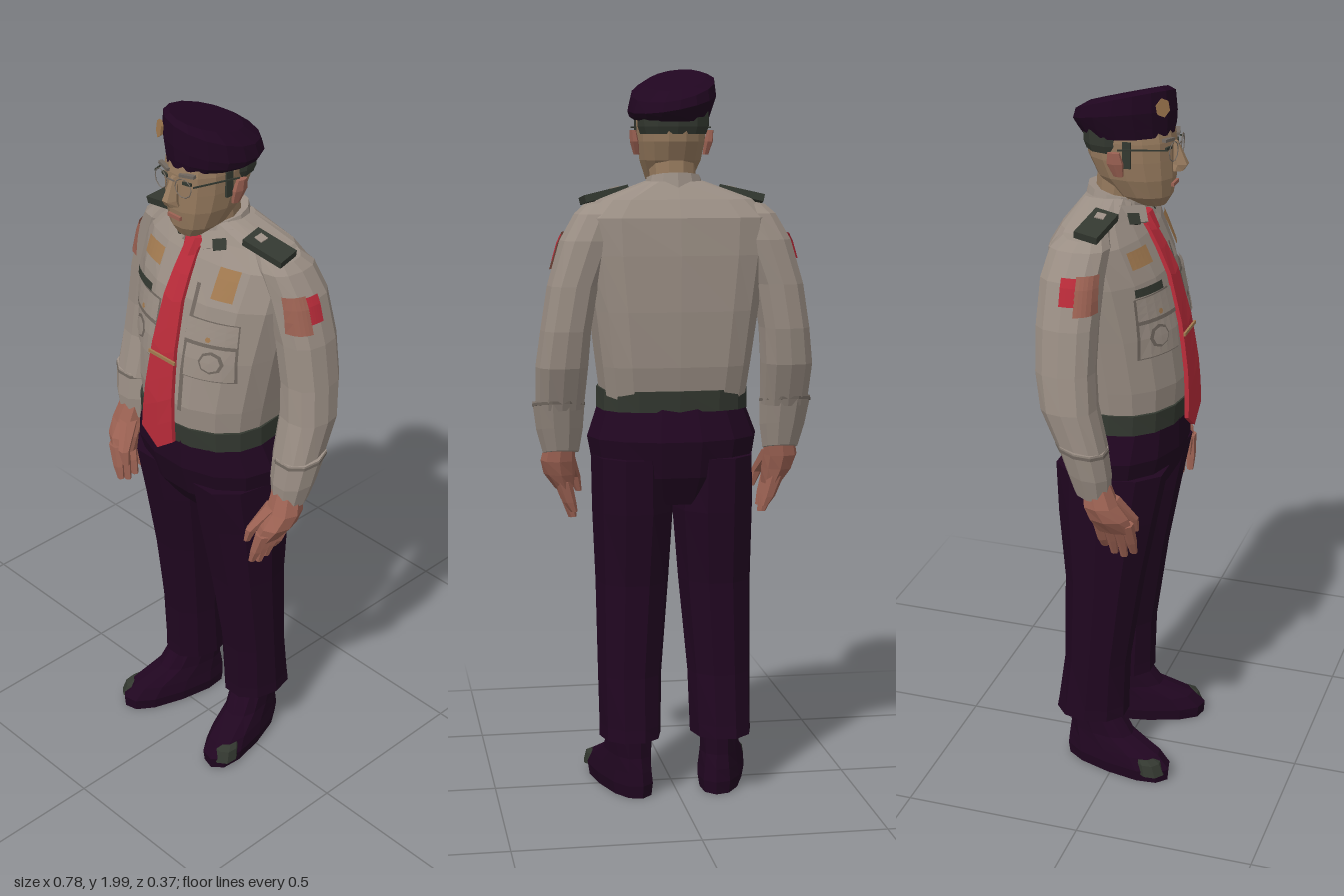
import * as THREE from 'three';

const mat = (name, color) => {
  const m = new THREE.MeshStandardMaterial({ color, flatShading: true, side: THREE.DoubleSide });
  m.name = name;
  return m;
};

// Closed low-poly body from horizontal rings, bottom to top: [x, y, z, rx, rz, tiltX, tiltZ]
// p squares off the outline, pBack does so for the back half only
function loft(rings, n = 12, p = 2, s = 1, pBack = p) {
  const pos = [], idx = [];
  const bend = (v, q) => Math.sign(v) * Math.abs(v) ** (2 / q);
  for (const [x, y, z, rx, rz, tx = 0, tz = 0] of rings) {
    for (let i = 0; i < n; i++) {
      const a = (i / n) * Math.PI * 2, q = i * 2 > n ? pBack : p;
      const dx = rx * bend(Math.cos(a), q), dz = rz * bend(Math.sin(a), q);
      pos.push(x * s + dx, y + tx * s * dx + tz * dz, z + dz);
    }
  }
  const last = (rings.length - 1) * n, c0 = rings.length * n, c1 = c0 + 1;
  for (const r of [rings[0], rings[rings.length - 1]]) pos.push(r[0] * s, r[1], r[2]);
  for (let i = 0; i < n; i++) {
    const j = (i + 1) % n;
    for (let k = 0; k < last; k += n) idx.push(k + i, k + i + n, k + j + n, k + i, k + j + n, k + j);
    idx.push(c0, i, j, c1, last + j, last + i);
  }
  const g = new THREE.BufferGeometry();
  g.setAttribute('position', new THREE.Float32BufferAttribute(pos, 3));
  g.setIndex(idx);
  const flat = g.toNonIndexed();
  flat.computeVertexNormals();
  return flat;
}

// Ring values at height y
function ringAt(rings, y) {
  let k = 0;
  while (k < rings.length - 2 && rings[k + 1][1] < y) k++;
  const a = rings[k], b = rings[k + 1];
  const t = THREE.MathUtils.clamp((y - a[1]) / (b[1] - a[1]), 0, 1);
  return a.slice(0, 5).map((v, i) => v + (b[i] - v) * t);
}
const arc = (u, p) => (1 - Math.min(1, Math.abs(u)) ** p) ** (1 / p);

const FRONT_P = 2, BACK_P = 4, ARM_P = 2.4;
const torso = [
  [0, 1.11, 0.005, 0.198, 0.15], [0, 1.2, 0, 0.21, 0.164], [0, 1.35, -0.015, 0.23, 0.16],
  [0, 1.5, -0.035, 0.252, 0.143], [0, 1.6, -0.057, 0.258, 0.117], [0, 1.648, -0.06, 0.21, 0.088],
  [0, 1.695, -0.05, 0.08, 0.065],
];
const arm = [
  [0.312, 1.08, -0.03, 0.066, 0.062], [0.31, 1.2, -0.07, 0.072, 0.075], [0.3, 1.3, -0.082, 0.069, 0.08],
  [0.28, 1.42, -0.083, 0.07, 0.083], [0.24, 1.54, -0.08, 0.075, 0.085],
  [0.21, 1.61, -0.07, 0.064, 0.08], [0.185, 1.645, -0.062, 0.064, 0.058, -0.2],
];
const frontZ = (x, y) => {
  const r = ringAt(torso, y);
  return r[2] + r[4] * arc(x / r[3], FRONT_P);
};

// Lay a flat geometry onto the chest or onto the outside of a sleeve
function onChest(g, x, y, off = 0.005) {
  g.translate(x, y, 0);
  const p = g.attributes.position;
  for (let i = 0; i < p.count; i++) p.setZ(i, p.getZ(i) + frontZ(p.getX(i), p.getY(i)) + off);
  g.computeVertexNormals();
  return g;
}
function onSleeve(g, y, z, s) {
  const p = g.attributes.position;
  for (let i = 0; i < p.count; i++) {
    const py = p.getY(i) + y, pz = z - p.getX(i), r = ringAt(arm, py);
    p.setXYZ(i, s * (r[0] + r[3] * arc((pz - r[2]) / r[4], ARM_P) + 0.005), py, pz);
  }
  g.computeVertexNormals();
  return g;
}

export function createModel() {
  const shirt = mat('shirt grey', 0x9a8e84), dark = mat('dark olive', 0x333830);
  const navy = mat('dark plum cloth', 0x200620), red = mat('tie red', 0xb82b39);
  const face = mat('face tan', 0x967a5e), hand = mat('hand pink', 0x9c6253);
  const gold = mat('badge bronze', 0xa27a50), seam = mat('seam grey', 0x70675f);
  const model = new THREE.Group();
  const add = (name, geo, material, x = 0, y = 0, z = 0, rx = 0, ry = 0, rz = 0) => {
    const m = new THREE.Mesh(geo, material);
    m.name = name;
    m.position.set(x, y, z);
    m.rotation.set(rx, ry, rz);
    model.add(m);
  };
  const box = (w, h, d) => new THREE.BoxGeometry(w, h, d);
  const plane = (w, h) => new THREE.PlaneGeometry(w, h, 5, 3);

  // Trunk, hips and belt
  add('shirtBody', loft(torso, 16, FRONT_P, 1, BACK_P), shirt);
  add('hips', loft([[0, 0.82, -0.03, 0.17, 0.1], [0, 0.9, -0.022, 0.218, 0.15],
    [0, 1.0, -0.015, 0.236, 0.173], [0, 1.1, 0.003, 0.2, 0.152]], 14, 2.1), navy);
  add('belt', loft([[0, 1.078, 0.002, 0.208, 0.156], [0, 1.135, 0.002, 0.208, 0.16]], 16, 2.1, 1, 3), dark);

  // Neck, collar and head
  add('neck', loft([[0, 1.64, -0.04, 0.06, 0.06], [0, 1.76, -0.02, 0.065, 0.07]], 10), face);
  add('collar', loft([[0, 1.65, -0.045, 0.09, 0.085, 0, -0.15], [0, 1.705, -0.045, 0.073, 0.072, 0, -0.2]], 12), shirt);
  add('head', loft([[0, 1.672, 0.06, 0.035, 0.035], [0, 1.7, 0.035, 0.065, 0.077], [0, 1.75, 0.015, 0.084, 0.105],
    [0, 1.8, 0.003, 0.092, 0.117], [0, 1.85, 0, 0.095, 0.12], [0, 1.9, -0.005, 0.092, 0.115]], 14, 2.2), face);
  add('hair', loft([[0, 1.82, -0.04, 0.09, 0.076], [0, 1.84, -0.042, 0.097, 0.081],
    [0, 1.88, -0.042, 0.099, 0.083]], 12, 2.3), dark);
  add('nose', loft([[0, 1.768, 0.125, 0.022, 0.02], [0, 1.785, 0.13, 0.019, 0.027], [0, 1.845, 0.115, 0.009, 0.012]], 6), face);
  add('mouth', box(0.045, 0.01, 0.008), hand, 0, 1.732, 0.119);
  add('glassesBridge', box(0.025, 0.003, 0.003), seam, 0, 1.84, 0.131);
  for (const s of [-1, 1]) {
    add('ear', loft([[0.095, 1.765, -0.005, 0.008, 0.014], [0.102, 1.8, -0.012, 0.012, 0.024],
      [0.106, 1.83, -0.015, 0.009, 0.018]], 6, 2, s), hand);
    add('sideburn', box(0.008, 0.07, 0.022), dark, s * 0.092, 1.822, 0.016);
    add('eyebrow', box(0.045, 0.008, 0.012), seam, s * 0.042, 1.858, 0.113, 0, s * 0.25, s * 0.1);
    add('eye', box(0.026, 0.008, 0.006), dark, s * 0.04, 1.835, 0.113, 0, s * 0.25);
    add('glassesRim', new THREE.TorusGeometry(0.026, 0.0015, 4, 10), seam, s * 0.041, 1.828, 0.127, 0, s * 0.15);
    add('glassesTemple', box(0.003, 0.004, 0.13), dark, s * 0.09, 1.838, 0.058, 0, -s * 0.3);
  }

  // Sloping beret with its badge
  add('beret', loft([[0, 1.86, -0.006, 0.102, 0.122, -0.02, 0.06], [0.003, 1.878, -0.012, 0.113, 0.131, -0.1, 0.08],
    [0, 1.905, -0.017, 0.121, 0.138, -0.2, 0.15], [-0.003, 1.945, -0.015, 0.113, 0.132, -0.22, 0.27],
    [-0.012, 1.964, -0.004, 0.082, 0.104, -0.18, 0.26]], 16), navy);
  add('beretBadge', new THREE.CylinderGeometry(0.025, 0.02, 0.008, 6), gold, -0.068, 1.948, 0.103, 1.4, 0, 0.5);

  // Tie widening towards a pointed end
  const tie = new THREE.BoxGeometry(2, 1, 0.012, 2, 8, 1), tp = tie.attributes.position;
  for (let i = 0; i < tp.count; i++) {
    const t = 0.5 - tp.getY(i), u = tp.getX(i);
    const y = 1.625 - t * (0.53 + 0.045 * (1 - Math.abs(u)));
    tp.setXYZ(i, -0.008 + u * (0.024 + 0.037 * t), y, tp.getZ(i) + frontZ(0, Math.max(y, 1.2)) + 0.004 + 0.01 * t);
  }
  tie.computeVertexNormals();
  add('tie', tie, red);
  add('tieKnot', loft([[-0.008, 1.605, 0.064, 0.022, 0.016], [-0.008, 1.65, 0.04, 0.032, 0.018]], 6), red);
  add('tieClip', box(0.1, 0.009, 0.006), gold, -0.005, 1.33, 0.165);
  add('namePlate', onChest(plane(0.1, 0.022), -0.145, 1.485, 0.015), dark);
  add('placket', onChest(plane(0.012, 0.36), 0.056, 1.37), seam);

  for (const s of [-1, 1]) {
    // Pockets, badges and medal on the chest
    add('pocketShadow', onChest(plane(0.134, 0.168), s * 0.124, 1.382, 0.004), seam);
    add('pocket', onChest(plane(0.126, 0.16), s * 0.124, 1.382, 0.007), shirt);
    add('pocketFlapEdge', onChest(plane(0.136, 0.01), s * 0.124, 1.402, 0.012), seam);
    add('pocketFlap', onChest(plane(0.136, 0.06), s * 0.124, 1.437, 0.012), shirt);
    add('pocketButton', onChest(new THREE.CircleGeometry(0.008, 6), s * 0.124, 1.42, 0.015), gold);
    add('medalRim', onChest(new THREE.CircleGeometry(0.032, 8), s * 0.135, 1.355, 0.01), seam);
    add('medal', onChest(new THREE.CircleGeometry(0.025, 8), s * 0.135, 1.355, 0.013), shirt);
    add('chestBadge', onChest(plane(s > 0 ? 0.06 : 0.085, s > 0 ? 0.08 : 0.045), s * 0.135, 1.565, 0.01), gold);

    // Collar wings, pins and shoulder straps
    add('collarWing', box(0.085, 0.045, 0.012), shirt, s * 0.06, 1.654, 0.022, -0.6, s * 0.45, s * 0.5);
    add('collarPin', box(0.036, 0.03, 0.008), dark, s * 0.072, 1.646, 0.029, -0.6, s * 0.45, s * 0.5);
    add('shoulderStrap', box(0.125, 0.02, 0.065), dark, s * 0.188, 1.658, -0.035, 0.15, s * 0.12, -s * 0.24);
    add('strapButton', box(0.025, 0.006, 0.025), shirt, s * 0.16, 1.675, -0.033, 0.15, 0, -s * 0.24);

    // Sleeve, cuff and shoulder patches
    add('sleeve', loft(arm, 12, ARM_P, s), shirt);
    add('cuff', loft([[0.308, 0.955, -0.01, 0.05, 0.048, 0, -0.25], [0.312, 1.02, -0.018, 0.064, 0.06, 0, -0.2],
      [0.316, 1.1, -0.035, 0.072, 0.068, 0, -0.2]], 10, 2.1, s), shirt);
    add('cuffSeam', loft([[0.316, 1.087, -0.034, 0.073, 0.07, 0, -0.2],
      [0.316, 1.095, -0.035, 0.073, 0.07, 0, -0.2]], 10, 2.1, s), seam);
    add('shoulderPatch', onSleeve(plane(0.05, 0.1), 1.51, -0.024, s), hand);
    add('shoulderFlash', onSleeve(plane(0.04, 0.07), 1.52, -0.068, s), red);

    // Hand with four fingers and a thumb
    add('palm', loft([[0.293, 0.845, 0.047, 0.026, 0.053], [0.308, 0.89, 0.034, 0.044, 0.056],
      [0.314, 0.93, 0.015, 0.048, 0.048], [0.308, 0.985, 0, 0.042, 0.038]], 8, 2.2, s), hand);
    for (let f = 0; f < 4; f++) {
      const z = 0.004 + f * 0.027, tip = 0.758 + [0.025, 0.006, 0, 0.014][f];
      add('finger', loft([[0.27, tip, z + 0.008, 0.01, 0.01], [0.282, 0.81, z + 0.006, 0.018, 0.014],
        [0.3, 0.87, z, 0.024, 0.016]], 6, 2, s), hand);
    }
    add('thumb', loft([[0.248, 0.828, 0.09, 0.009, 0.011], [0.26, 0.87, 0.086, 0.017, 0.017],
      [0.295, 0.94, 0.035, 0.03, 0.026]], 6, 2, s), hand);

    // Trouser leg with hem, and shoe turned outwards
    add('trouserLeg', loft([[0.128, 0.165, -0.075, 0.086, 0.105], [0.127, 0.2, -0.072, 0.086, 0.102],
      [0.126, 0.34, -0.06, 0.089, 0.094], [0.116, 0.6, -0.04, 0.102, 0.112],
      [0.112, 0.8, -0.03, 0.113, 0.14], [0.114, 0.95, -0.018, 0.112, 0.158]], 10, 2.1, s), navy);
    add('shoe', loft([[0, 0, 0.005, 0.06, 0.167], [0, 0.035, 0.005, 0.066, 0.17], [0, 0.07, -0.01, 0.061, 0.15],
      [0, 0.11, -0.05, 0.055, 0.1], [0, 0.2, -0.082, 0.055, 0.066]], 12, 2.4), navy, s * 0.145, 0, 0.003, 0, s * 0.26);
    add('toeCap', loft([[0.02, 0.025, 0.128, 0.038, 0.042], [0.02, 0.058, 0.118, 0.034, 0.038],
      [0.02, 0.068, 0.105, 0.026, 0.03]], 8, 2.2, s), dark, s * 0.145, 0, 0.003, 0, s * 0.26);
  }
  return model;
}
